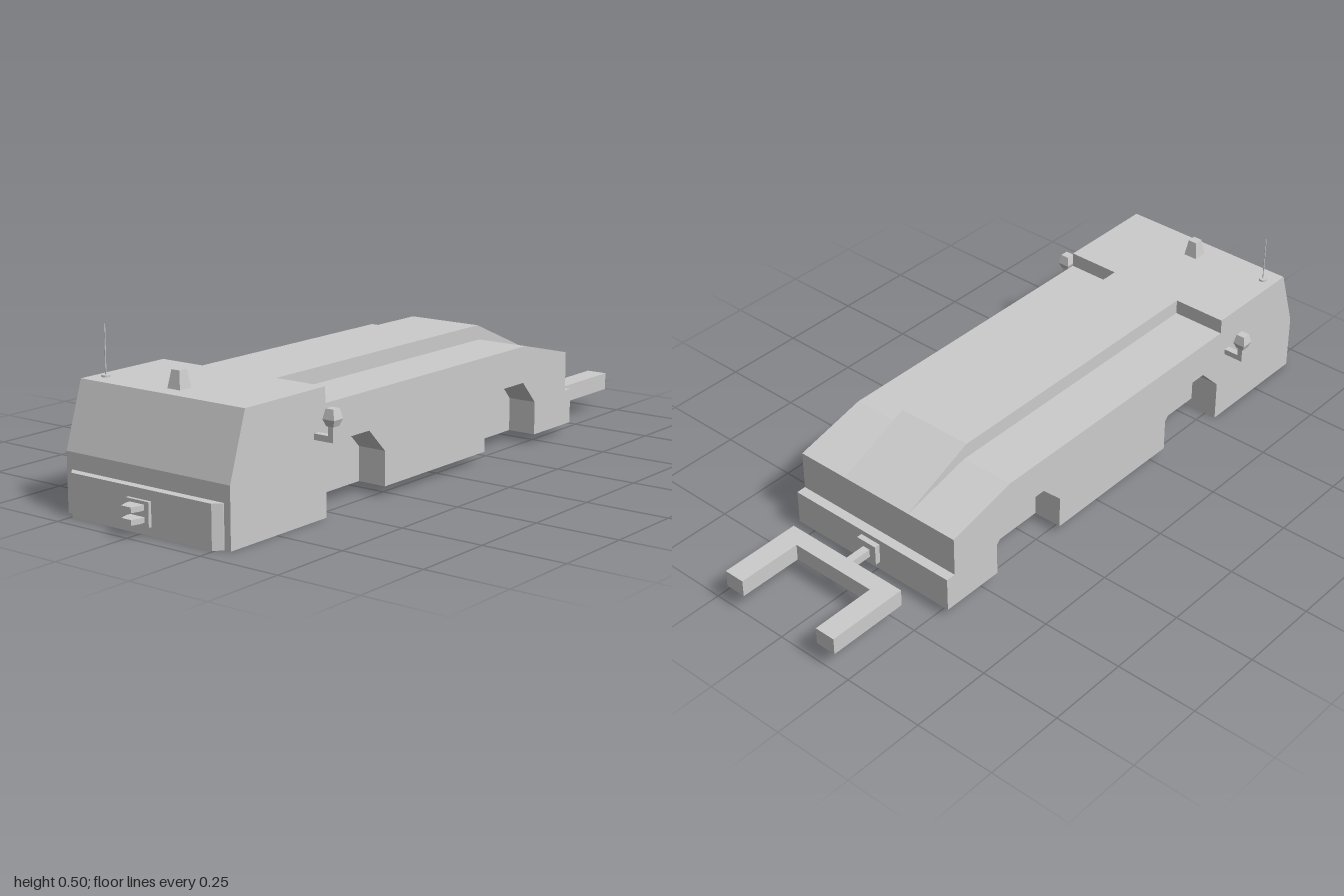
import * as THREE from 'three';

const material = new THREE.MeshStandardMaterial({ color: 0xcccccc, flatShading: true });

export function createModel() {
  const model = new THREE.Group();

  const add = (name, geometry, x = 0, y = 0, z = 0, parent = model) => {
    const mesh = new THREE.Mesh(geometry, material);
    mesh.name = name;
    mesh.position.set(x, y, z);
    parent.add(mesh);
    return mesh;
  };

  // Box given by its limits
  const box = (name, x0, x1, y0, y1, z0, z1, parent) =>
    add(name, new THREE.BoxGeometry(x1 - x0, y1 - y0, z1 - z0),
      (x0 + x1) / 2, (y0 + y1) / 2, (z0 + z1) / 2, parent);

  // Side profile of [z, y] points extruded from x0 to x1
  const slab = (name, points, x0, x1) => {
    const shape = new THREE.Shape(points.map(([z, y]) => new THREE.Vector2(-z, y)));
    const geometry = new THREE.ExtrudeGeometry(shape, { depth: x1 - x0, bevelEnabled: false });
    geometry.rotateY(Math.PI / 2);
    return add(name, geometry, x0);
  };

  // Square frustum standing on y = 0, half widths b (bottom) and t (top)
  const frustum = (b, t, h) => new THREE.CylinderGeometry(t * Math.SQRT2, b * Math.SQRT2, h, 4)
    .rotateY(Math.PI / 4).translate(0, h / 2, 0);

  // Hull: raised spine, lowered side decks, wheel wells in the outer skins
  const W = 0.286, spine = 0.12, well = 0.196;
  const nose = [[0.865, 0.355], [0.925, 0.17], [0.925, 0], [0.545, 0]];
  const plainBottom = [[0.545, 0.03], [-0.625, 0.03]];
  const wells = [
    [0.545, 0.125], [0.47, 0.2], [0.36, 0.2], [0.29, 0.13], [0.29, 0.03],
    [-0.19, 0.03], [-0.19, 0.13], [-0.26, 0.2], [-0.39, 0.2], [-0.455, 0.13], [-0.455, 0.03],
    [-0.625, 0.03],
  ];
  const highTop = [[-0.625, 0.255], [-0.39, 0.355]];
  const lowTop = [[-0.625, 0.255], [-0.4, 0.31], [0.548, 0.31], [0.548, 0.355]];

  slab('hullSpine', [...nose, ...plainBottom, ...highTop], -spine, spine);
  for (const s of [-1, 1]) {
    const side = s > 0 ? 'left' : 'right';
    const span = (a, b) => (s > 0 ? [a, b] : [-b, -a]);
    slab(side + 'Deck', [...nose, ...plainBottom, ...lowTop], ...span(spine, well));
    slab(side + 'WheelWellSkin', [...nose, ...wells, ...lowTop], ...span(well, W));
  }

  // Front bumper with chamfered ends
  const plan = new THREE.Shape([[-0.265, -0.92], [0.265, -0.92], [0.265, -0.928], [0.245, -0.95],
    [-0.245, -0.95], [-0.265, -0.928]].map(([x, y]) => new THREE.Vector2(x, y)));
  add('frontBumper', new THREE.ExtrudeGeometry(plan, { depth: 0.122, bevelEnabled: false })
    .rotateX(-Math.PI / 2));

  // Front coupling: plate with two tapered jaws
  box('couplingPlate', -0.04, 0.04, 0.025, 0.093, 0.945, 0.96);
  const jawPlan = new THREE.Shape([[-0.025, -0.95], [0.025, -0.95], [0.025, -0.975], [0.017, -1],
    [-0.017, -1], [-0.025, -0.975]].map(([x, y]) => new THREE.Vector2(x, y)));
  for (const y of [0.036, 0.069]) {
    add('couplingJaw', new THREE.ExtrudeGeometry(jawPlan, { depth: 0.015, bevelEnabled: false })
      .rotateX(-Math.PI / 2), 0, y, 0);
  }

  // Rear bumper, hitch and lifting fork
  box('rearBumper', -W, W, 0.03, 0.135, -0.655, -0.62);
  box('hitchPlate', -0.034, 0.034, 0.058, 0.12, -0.672, -0.65);
  box('hitchBar', -0.012, 0.012, 0.075, 0.1, -0.755, -0.67);
  const fork = new THREE.Group();
  fork.name = 'fork';
  model.add(fork);
  box('forkCrossbar', -0.205, 0.205, 0.063, 0.115, -0.8, -0.748, fork);
  for (const s of [-1, 1]) {
    box('forkProng', s * 0.1725 - 0.0325, s * 0.1725 + 0.0325, 0.063, 0.115, -1, -0.8, fork);
  }

  // Side lamps on bent arms
  for (const s of [-1, 1]) {
    const lamp = new THREE.Group();
    lamp.name = s > 0 ? 'leftLamp' : 'rightLamp';
    model.add(lamp);
    const span = (a, b) => (s > 0 ? [a, b] : [-b, -a]);
    box('lampArm', ...span(0.28, 0.348), 0.221, 0.238, 0.575, 0.595, lamp);
    box('lampPost', ...span(0.332, 0.348), 0.238, 0.266, 0.575, 0.595, lamp);
    add('lampBase', frustum(0.012, 0.019, 0.019), s * 0.34, 0.264, 0.585, lamp);
    add('lampHead', frustum(0.019, 0.013, 0.028), s * 0.34, 0.283, 0.585, lamp);
  }

  // Roof beacon and antenna
  add('roofBeacon', frustum(0.022, 0.014, 0.051), 0, 0.354, 0.793);
  add('antennaBase', new THREE.CylinderGeometry(0.012, 0.012, 0.007, 12), -0.248, 0.357, 0.81);
  add('antennaRod', new THREE.CylinderGeometry(0.0017, 0.0017, 0.14, 8), -0.248, 0.428, 0.81);

  return model;
}
